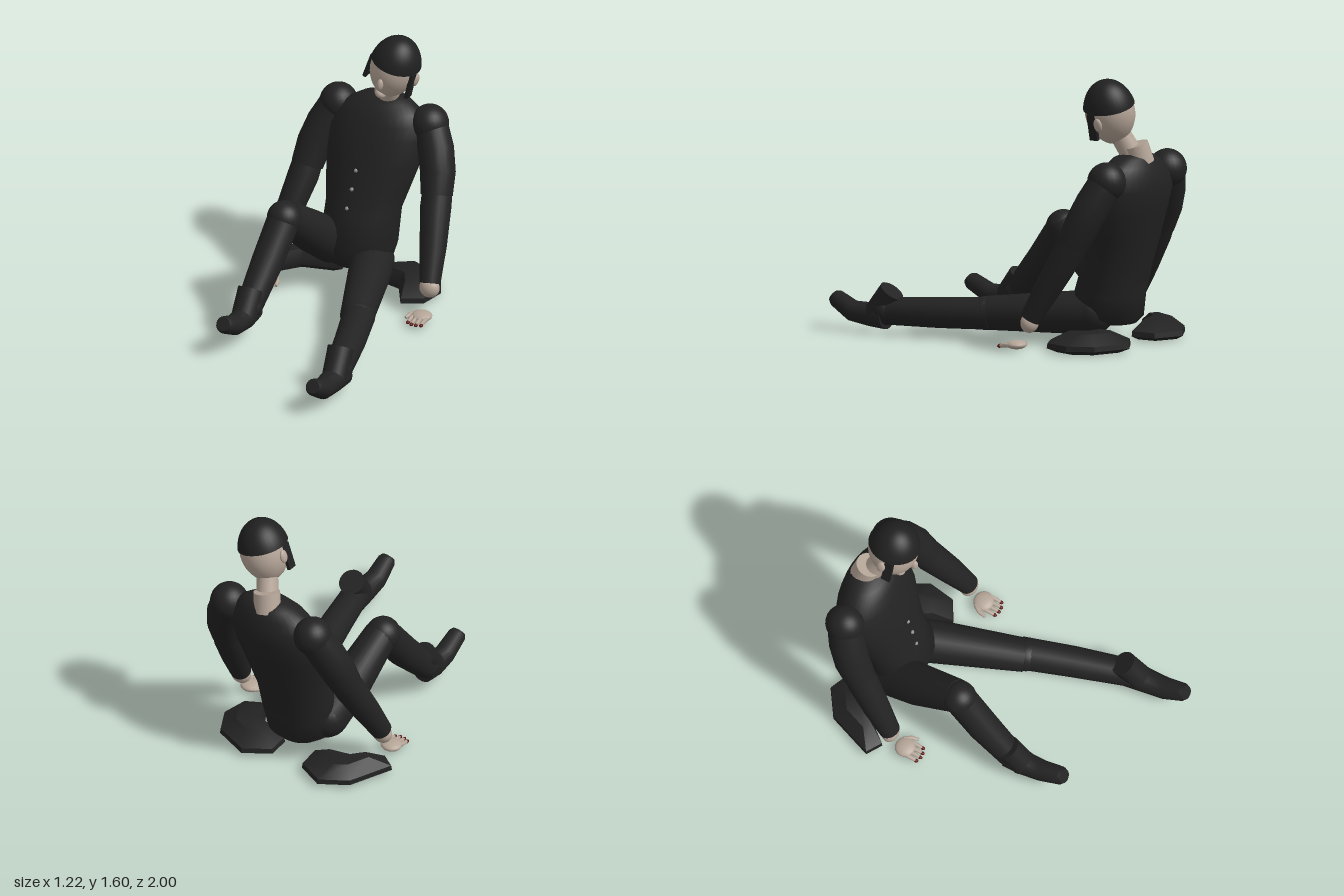
import * as THREE from 'three';
import { toCreasedNormals } from 'three/addons/utils/BufferGeometryUtils.js';

const V = (x, y, z) => new THREE.Vector3(x, y, z);
const mat = (name, color) => {
  const m = new THREE.MeshStandardMaterial({ color });
  m.name = name;
  return m;
};

// Closed skin over a list of rings with equal point counts
function loft(rings, crease = 0.7) {
  const n = rings[0].length, pos = [], idx = [];
  rings.forEach(r => r.forEach(p => pos.push(p.x, p.y, p.z)));
  for (let i = 0; i < rings.length - 1; i++) for (let j = 0; j < n; j++) {
    const a = i * n + j, b = i * n + (j + 1) % n;
    idx.push(a, b, b + n, a, b + n, a + n);
  }
  [0, rings.length - 1].forEach((e, k) => {
    const c = rings[e].reduce((s, p) => s.add(p), V(0, 0, 0)).divideScalar(n), ci = pos.length / 3;
    pos.push(c.x, c.y, c.z);
    for (let j = 0; j < n; j++) {
      const a = e * n + j, b = e * n + (j + 1) % n;
      idx.push(ci, k ? a : b, k ? b : a);
    }
  });
  const g = new THREE.BufferGeometry();
  g.setAttribute('position', new THREE.Float32BufferAttribute(pos, 3));
  g.setIndex(idx);
  return toCreasedNormals(g, crease);
}

// Tube through points [x, y, z, radius], optionally wider across x
function limb(points, wide = 1, sides = 20) {
  const p = points.map(q => V(q[0], q[1], q[2]));
  return loft(p.map((c, i) => {
    const w = p[Math.min(i + 1, p.length - 1)].clone().sub(p[Math.max(i - 1, 0)]).normalize();
    const u = V(1, 0, 0).addScaledVector(w, -w.x).normalize(), v = w.clone().cross(u);
    return Array.from({ length: sides }, (_, j) => {
      const a = j / sides * Math.PI * 2, r = points[i][3];
      return c.clone().addScaledVector(u, Math.cos(a) * r * wide).addScaledVector(v, Math.sin(a) * r);
    });
  }));
}

export function createModel() {
  const cloth = mat('black cloth', 0x222222), hairMat = mat('black hair', 0x202020);
  const skin = mat('pale skin', 0xb5a598), nail = mat('dark red nails', 0x5c1210);
  const metal = mat('grey buttons', 0x8a8a88);
  const root = new THREE.Group();
  const add = (name, geo, m, parent = root) => {
    const mesh = new THREE.Mesh(geo, m);
    mesh.name = name;
    parent.add(mesh);
    return mesh;
  };
  const ball = (name, m, x, y, z, rx, ry = rx, rz = rx, parent = root) => {
    const s = add(name, new THREE.SphereGeometry(1, 24, 16), m, parent);
    s.position.set(x, y, z);
    s.scale.set(rx, ry, rz);
    return s;
  };

  // Torso: horizontal ovals [y, centre x, centre z, half width, half depth]
  const torso = [
    [0.13, -0.03, -0.66, 0.13, 0.11], [0.17, -0.02, -0.64, 0.2, 0.17], [0.3, -0.01, -0.625, 0.235, 0.2],
    [0.5, -0.01, -0.685, 0.23, 0.195], [0.65, 0, -0.73, 0.265, 0.19], [0.8, 0.015, -0.77, 0.295, 0.19],
    [0.95, 0.022, -0.815, 0.305, 0.183], [1.03, 0.032, -0.828, 0.28, 0.16], [1.09, 0.04, -0.835, 0.235, 0.135],
    [1.14, 0.05, -0.845, 0.16, 0.1], [1.162, 0.05, -0.85, 0.09, 0.06]];
  add('torso', loft(torso.map(([y, cx, cz, rx, rz]) => Array.from({ length: 32 }, (_, j) => {
    const a = j / 32 * Math.PI * 2;
    return V(cx + Math.sin(a) * rx, y, cz + Math.cos(a) * rz);
  })), 1), cloth);
  [[-0.005, 0.765, -0.574], [-0.015, 0.655, -0.54], [-0.03, 0.54, -0.508]]
    .forEach(b => ball('button', metal, ...b, 0.012));

  // Coat tails lying on the ground, as plan outlines [x, z]
  const tails = {
    rightCoatTail: [[-0.61, -0.54], [-0.52, -0.48], [-0.4, -0.62], [-0.15, -0.68],
      [-0.17, -0.83], [-0.34, -0.91], [-0.5, -0.81]],
    leftCoatTail: [[0.35, -0.455], [0.47, -0.52], [0.5, -0.68], [0.42, -0.83],
      [0.2, -0.92], [0.05, -0.82], [0.06, -0.68], [0.24, -0.64]],
  };
  for (const [name, plan] of Object.entries(tails)) {
    const cx = plan.reduce((s, p) => s + p[0], 0) / plan.length;
    const cz = plan.reduce((s, p) => s + p[1], 0) / plan.length;
    add(name, loft([[0.005, 0.75], [0.03, 1], [0.06, 0.98], [0.12, 0.5]].map(([y, s]) =>
      plan.map(([x, z]) => V(cx + (x - cx) * s, y, cz + (z - cz) * s))), 0.6), cloth);
  }

  // Arms and hands, mirrored about x = 0.035
  for (const s of [-1, 1]) {
    const side = s < 0 ? 'right' : 'left', X = d => 0.035 + s * d;
    ball(side + 'Shoulder', cloth, X(0.3), 1.03, -0.855, 0.112, 0.115, 0.115);
    add(side + 'UpperArm', limb([[X(0.3), 1.04, -0.86, 0.1], [X(0.365), 0.9, -0.805, 0.108],
      [X(0.405), 0.78, -0.755, 0.105], [X(0.425), 0.66, -0.7, 0.095]]), cloth);
    add(side + 'Forearm', limb([[X(0.422), 0.7, -0.72, 0.088], [X(0.435), 0.6, -0.67, 0.092],
      [X(0.475), 0.4, -0.56, 0.08], [X(0.508), 0.21, -0.455, 0.062]]), cloth);
    ball(side + 'Wrist', skin, X(0.508), 0.185, -0.45, 0.062, 0.06, 0.05);
    const hx = X(0.507);
    ball(side + 'Palm', skin, hx, 0.045, -0.355, 0.062, 0.026, 0.06);
    for (let i = 0; i < 4; i++) {
      const fx = hx + (i - 1.5) * 0.029, end = i === 0 || i === 3 ? -0.268 : -0.256;
      add(side + 'Finger', limb([[fx, 0.045, -0.33, 0.013], [fx, 0.042, -0.295, 0.013],
        [fx, 0.034, end, 0.01]], 1, 10), skin);
      ball(side + 'Nail', nail, fx, 0.033, end + 0.004, 0.011, 0.01, 0.016);
    }
    add(side + 'Thumb', limb([[hx - s * 0.04, 0.045, -0.385, 0.016], [hx - s * 0.07, 0.042, -0.345, 0.014],
      [hx - s * 0.08, 0.036, -0.305, 0.009]], 1, 10), skin);
  }

  // Legs: right one bent, left one stretched out
  const legs = {
    right: {
      thigh: [[-0.17, 0.26, -0.58, 0.13], [-0.205, 0.4, -0.4, 0.125], [-0.235, 0.61, -0.13, 0.1]],
      knee: [-0.24, 0.61, -0.12, 0.103],
      shin: [[-0.24, 0.61, -0.12, 0.098], [-0.262, 0.4, 0.045, 0.095], [-0.28, 0.2, 0.23, 0.08]],
      ankle: [-0.28, 0.19, 0.25, 0.083],
      shaft: [[-0.285, 0.285, 0.215, 0.077], [-0.28, 0.14, 0.32, 0.075]],
      foot: [[-0.28, 0.16, 0.22, 0.07], [-0.28, 0.145, 0.32, 0.068], [-0.278, 0.155, 0.44, 0.06],
        [-0.275, 0.215, 0.565, 0.052], [-0.275, 0.228, 0.585, 0.04]],
    },
    left: {
      thigh: [[0.1, 0.2, -0.58, 0.13], [0.16, 0.19, -0.42, 0.125], [0.315, 0.162, 0.03, 0.1]],
      knee: [0.32, 0.162, 0.03, 0.1],
      shin: [[0.315, 0.162, 0.0, 0.097], [0.41, 0.15, 0.3, 0.092], [0.5, 0.14, 0.62, 0.082]],
      ankle: [0.502, 0.14, 0.62, 0.084],
      shaft: [[0.495, 0.26, 0.58, 0.077], [0.51, 0.11, 0.69, 0.075]],
      foot: [[0.505, 0.11, 0.61, 0.078], [0.51, 0.11, 0.72, 0.07], [0.515, 0.12, 0.85, 0.062],
        [0.52, 0.182, 0.96, 0.052], [0.52, 0.195, 0.98, 0.04]],
    },
  };
  for (const [side, leg] of Object.entries(legs)) {
    const [hx, hy, hz, hr] = leg.thigh[0];
    ball(side + 'Hip', cloth, hx, hy, hz, hr);
    add(side + 'Thigh', limb(leg.thigh), cloth);
    ball(side + 'Knee', cloth, ...leg.knee);
    add(side + 'Shin', limb(leg.shin), cloth);
    ball(side + 'Ankle', cloth, ...leg.ankle);
    add(side + 'BootShaft', limb(leg.shaft), cloth);
    add(side + 'Boot', limb(leg.foot, 1.05), cloth);
  }

  // Neck in two pieces
  add('lowerNeck', limb([[0.035, 1.1, -0.885, 0.08], [0.062, 1.215, -0.86, 0.078]]), skin);
  add('upperNeck', limb([[0.065, 1.15, -0.845, 0.066], [0.115, 1.29, -0.78, 0.062]]), skin);

  // Head, tilted to its left; the skull narrows towards the chin
  const head = new THREE.Group();
  head.name = 'head';
  head.position.set(0.158, 1.408, -0.75);
  head.rotation.z = -0.28;
  root.add(head);
  const skull = new THREE.SphereGeometry(1, 32, 24), sp = skull.attributes.position;
  for (let i = 0; i < sp.count; i++) {
    const y = sp.getY(i), k = y < 0 ? 1 - 0.14 * y * y : 1;
    sp.setXYZ(i, sp.getX(i) * 0.142 * k, y * 0.195, sp.getZ(i) * 0.15 * k);
  }
  skull.computeVertexNormals();
  add('face', skull, skin, head);
  const hair = add('hair', new THREE.SphereGeometry(1, 32, 16, 0, Math.PI * 2, 0, 1.36), hairMat, head);
  hair.scale.set(0.153, 0.203, 0.158);
  hairMat.side = THREE.DoubleSide;
  ball('nose', skin, -0.005, -0.06, 0.145, 0.02, 0.04, 0.024, head).rotation.z = 0.1;
  ball('chin', skin, -0.01, -0.165, 0.07, 0.034, 0.028, 0.034, head);
  for (const s of [-1, 1]) {
    ball('ear', skin, s * 0.146, -0.02, -0.01, 0.016, 0.042, 0.028, head);
    const burn = add('sideburn', new THREE.BoxGeometry(0.022, 0.16, 0.055), hairMat, head);
    burn.position.set(s * 0.138, -0.04, 0.035);
    burn.rotation.z = s * 0.06;
  }
  return root;
}
